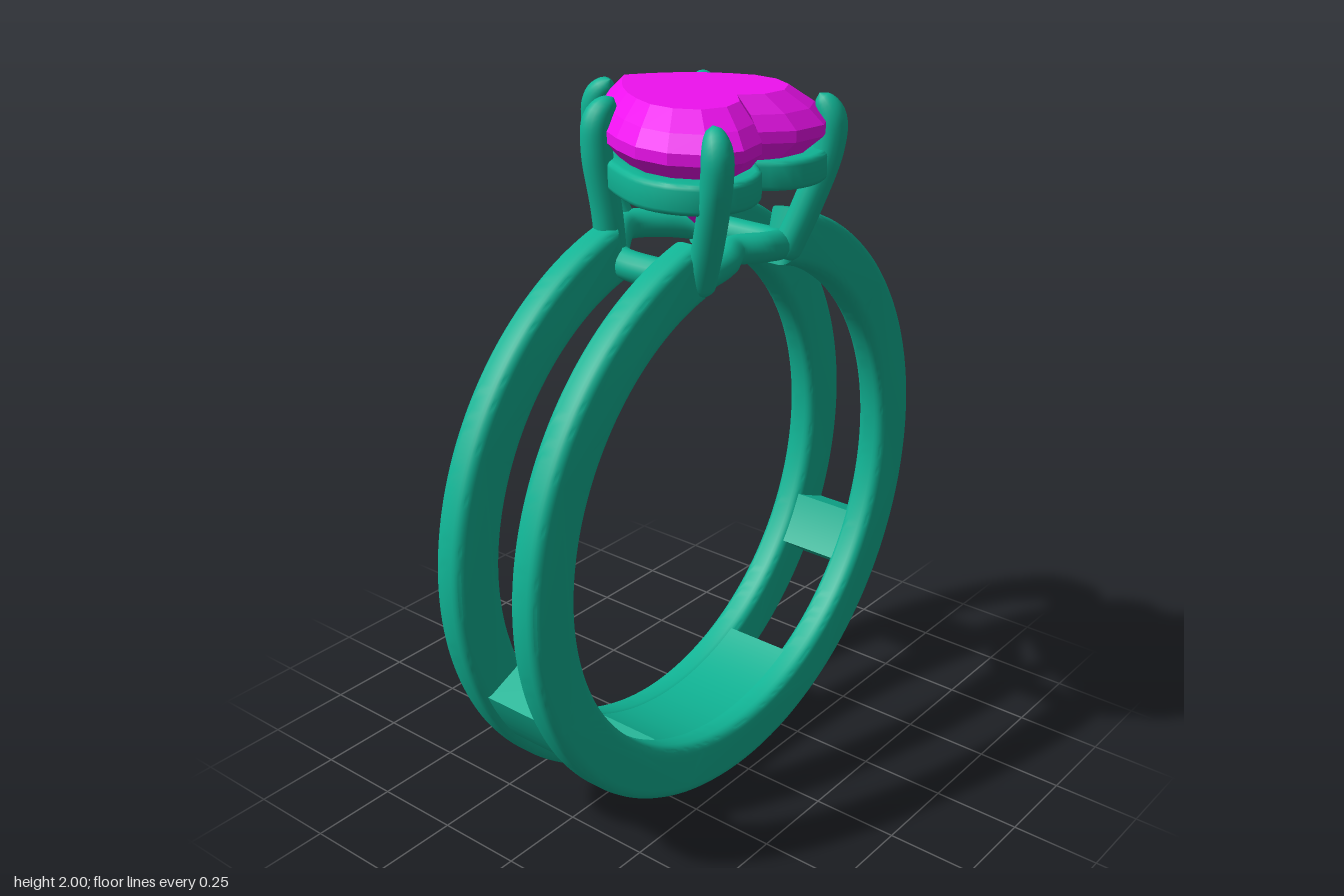
import * as THREE from 'three';
import { toCreasedNormals } from 'three/addons/utils/BufferGeometryUtils.js';

const metal = new THREE.MeshStandardMaterial({ color: 0x10b495 });
const stone = new THREE.MeshStandardMaterial({ color: 0xee11ee, flatShading: true });
const V3 = (x, y, z) => new THREE.Vector3(x, y, z);
const RING_Y = 0.845, OUTER = 0.845, INNER = 0.69;

function mesh(name, geometry, material = metal) {
  const m = new THREE.Mesh(geometry, material);
  m.name = name;
  return m;
}

// Closed heart outline as (x, z) pairs, from the back point round by +x
function heart(n, scale = 1, cz = 0.03) {
  const half = new THREE.CatmullRomCurve3([
    [0, -0.285], [0.09, -0.22], [0.19, -0.12], [0.265, 0], [0.305, 0.11], [0.295, 0.21],
    [0.24, 0.295], [0.15, 0.325], [0.06, 0.3], [0, 0.24],
  ].map(([x, z]) => V3(x, 0, z))).getSpacedPoints(n);
  const other = half.slice(1, -1).reverse().map((p) => V3(-p.x, 0, p.z));
  return [...half, ...other].map((p) => new THREE.Vector2(p.x * scale, cz + (p.z - cz) * scale));
}

// Solid arc of the finger ring, between two angles and two depths, with rounded edges
function ringArc(name, a0, a1, z0, z1, rIn, rOut, bevel) {
  const s = new THREE.Shape();
  s.absarc(0, 0, rOut, a0, a1, false);
  s.absarc(0, 0, rIn, a1, a0, true);
  const g = new THREE.ExtrudeGeometry(s, {
    depth: z1 - z0 - 2 * bevel, curveSegments: Math.ceil((a1 - a0) * 18) + 4,
    bevelEnabled: bevel > 0, bevelSize: bevel, bevelThickness: bevel, bevelOffset: -bevel, bevelSegments: 5,
  });
  g.translate(0, RING_Y, z0 + bevel);
  return mesh(name, toCreasedNormals(g, 0.6));
}

// Round claw along a path, swelling at the ends into domes
function prong(name, points) {
  const path = new THREE.CatmullRomCurve3(points.map((p) => V3(...p)));
  const n = 40, sides = 16, r = 0.041;
  const g = new THREE.TubeGeometry(path, n, r, sides);
  const pos = g.attributes.position, v = V3(0, 0, 0);
  for (let i = 0; i <= n; i++) {
    const t = i / n, c = path.getPointAt(t);
    const base = Math.min(1, t / 0.07), tip = Math.min(1, (1 - t) / 0.2);
    const k = Math.sqrt(1 - (1 - base) ** 2) * Math.sqrt(1 - (1 - tip) ** 2);
    for (let j = 0; j <= sides; j++) {
      const id = i * (sides + 1) + j;
      v.fromBufferAttribute(pos, id).sub(c).multiplyScalar(Math.max(k, 0.01)).add(c);
      pos.setXYZ(id, v.x, v.y, v.z);
    }
  }
  g.computeVertexNormals();
  return mesh(name, g);
}

// Faceted heart gem stacked from scaled outlines: [y, scale, centre z]
function gem() {
  const levels = [
    [1.635, 0, 0.05], [1.84, 0.84, 0.04], [1.885, 1, 0.03], [1.915, 1, 0.03],
    [1.955, 0.89, 0.02], [2, 0.71, 0.01], [2, 0, 0.03],
  ];
  const rings = levels.map(([y, s, cz]) => heart(10, s, cz).map((p) => V3(p.x, y, p.y)));
  const tris = [];
  for (let k = 0; k < rings.length - 1; k++) {
    const lo = rings[k], hi = rings[k + 1];
    for (let i = 0; i < lo.length; i++) {
      const j = (i + 1) % lo.length;
      if (levels[k][1] > 0) tris.push(lo[i], hi[i], lo[j]);
      if (levels[k + 1][1] > 0) tris.push(lo[j], hi[i], hi[j]);
    }
  }
  const g = new THREE.BufferGeometry().setFromPoints(tris);
  g.computeVertexNormals();
  return mesh('heartGem', g, stone);
}

// Flat heart-shaped band under the gem
function upperGallery() {
  const s = new THREE.Shape(heart(32, 1));
  s.holes.push(new THREE.Path(heart(32, 0.77)));
  const b = 0.015;
  const g = new THREE.ExtrudeGeometry(s, {
    depth: 0.08 - 2 * b, bevelSize: b, bevelThickness: b, bevelOffset: -b, bevelSegments: 3,
  });
  g.rotateX(Math.PI / 2).translate(0, 1.84 - b, 0);
  return mesh('upperGallery', toCreasedNormals(g, 0.6));
}

// Small heart-shaped wire at the foot of the setting, bent to the finger circle
function lowerGallery() {
  const half = [[0, -0.2], [0.1, -0.15], [0.185, -0.07], [0.2, 0.06], [0.18, 0.18], [0.09, 0.2], [0, 0.165]];
  const loop = [...half, ...half.slice(1, -1).reverse().map(([x, z]) => [-x, z])];
  const path = new THREE.CatmullRomCurve3(
    loop.map(([x, z]) => V3(x, RING_Y + Math.sqrt(0.745 ** 2 - x * x), z)), true);
  return mesh('lowerGallery', new THREE.TubeGeometry(path, 96, 0.041, 14, true));
}

export function createModel() {
  const model = new THREE.Group();
  const deg = Math.PI / 180, down = -90 * deg;

  // Twin bands, open at the top where the setting sits
  const gap = 14 * deg;
  for (const [name, z0, z1] of [['frontBand', 0.13, 0.225], ['backBand', -0.13, -0.035]]) {
    model.add(ringArc(name, 90 * deg + gap, 450 * deg - gap, z0, z1, INNER, OUTER, 0.03));
  }

  // Solid base and side bridges joining the bands
  model.add(ringArc('baseBridge', down - 26.5 * deg, down + 26.5 * deg, -0.09, 0.185, INNER + 0.002, OUTER - 0.002, 0));
  for (const [name, a] of [['leftBridge', down + 60.5 * deg], ['rightBridge', down - 60.5 * deg]]) {
    model.add(ringArc(name, a - 6.5 * deg, a + 6.5 * deg, -0.07, 0.165, INNER + 0.008, OUTER - 0.015, 0));
  }

  // Setting
  const setting = new THREE.Group();
  setting.name = 'setting';
  setting.add(lowerGallery(), upperGallery());
  for (const [side, s] of [['left', 1], ['right', -1]]) {
    setting.add(prong(side + 'FrontProng', [
      [s * 0.18, 1.53, 0.195], [s * 0.21, 1.68, 0.25], [s * 0.238, 1.84, 0.295],
      [s * 0.24, 1.92, 0.298], [s * 0.222, 1.98, 0.27]]));
    setting.add(prong(side + 'SideProng', [
      [s * 0.19, 1.55, -0.085], [s * 0.205, 1.7, -0.088], [s * 0.225, 1.86, -0.1],
      [s * 0.217, 1.94, -0.1], [s * 0.175, 1.988, -0.085]]));
  }
  setting.add(prong('backProng', [
    [0, 1.555, -0.2], [0, 1.66, -0.25], [0, 1.84, -0.298], [0, 1.92, -0.297], [0, 1.98, -0.25]]));
  model.add(setting, gem());
  return model;
}
